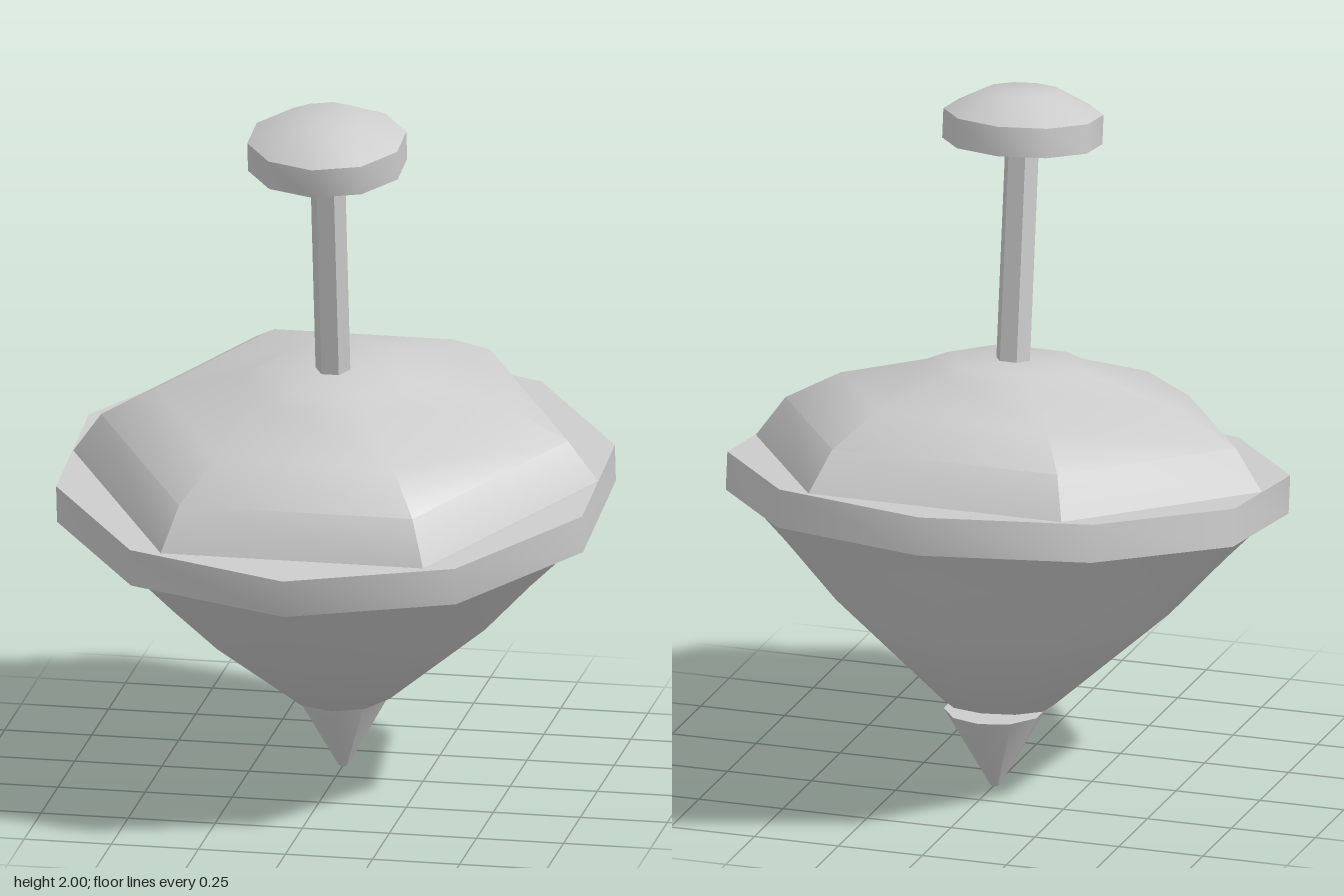
import * as THREE from 'three';
import { toCreasedNormals } from 'three/addons/utils/BufferGeometryUtils.js';

export function createModel() {
  const grey = new THREE.MeshStandardMaterial({ color: 0xcccccc });
  grey.name = 'plainGrey';

  // Revolve a profile of [radius, height] points listed from bottom to top
  const turned = (name, profile, sides, start = 0) => {
    const points = profile.map(([r, y]) => new THREE.Vector2(r, y));
    const geometry = toCreasedNormals(new THREE.LatheGeometry(points, sides, start), 0.75);
    const mesh = new THREE.Mesh(geometry, grey);
    mesh.name = name;
    return mesh;
  };
  const HEX = Math.PI / 6; // puts hexagon corners on the x axis

  // Everything but the tip leans forward about the middle of the rim
  const leaning = new THREE.Group();
  leaning.name = 'leaningTop';
  leaning.position.y = 0.865;
  leaning.rotation.x = 0.127;

  leaning.add(
    // Flat ten-sided rim
    turned('rim', [[0, -0.055], [0.794, -0.055], [0.794, 0.055], [0, 0.055]], 10),
    // Gently bulging lower body
    turned('lowerBody', [[0, -0.637], [0.155, -0.637], [0.47, -0.36], [0.62, -0.195], [0.762, -0.05]], 10),
    // Six-sided upper dome
    turned('upperDome', [[0.753, 0.055], [0.67, 0.173], [0.51, 0.262], [0.257, 0.329], [0.198, 0.355], [0, 0.357]], 6, HEX),
    // Hexagonal handle
    turned('stem', [[0.05, 0.33], [0.05, 1.0]], 6, HEX),
    // Domed grip
    turned('knob', [[0, 0.987], [0.226, 0.987], [0.226, 1.072], [0.11, 1.132], [0, 1.136]], 10)
  );

  // Upright point the top spins on
  const tip = turned('tip', [[0, 0], [0.014, 0], [0.145, 0.228], [0, 0.228]], 10);
  tip.position.z = -0.112;

  const model = new THREE.Group();
  model.name = 'spinningTop';
  model.add(leaning, tip);
  return model;
}
